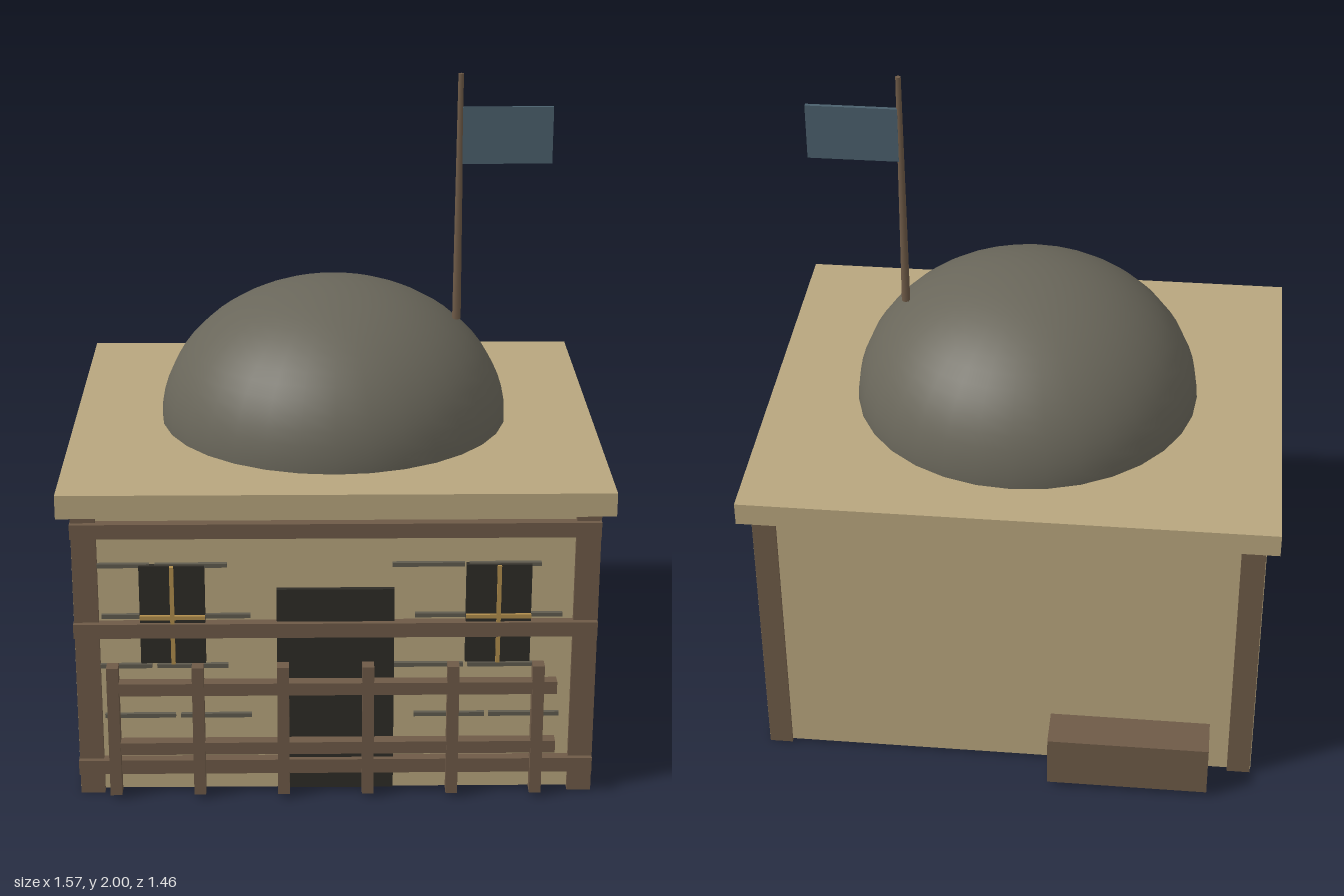
import * as THREE from 'three';

const mat = (color, side = THREE.FrontSide) => new THREE.MeshStandardMaterial({ color, side });

export function createModel() {
  const model = new THREE.Group();
  const plaster = mat(0xb8a67e), wood = mat(0x6e5a47), dark = mat(0x2e2c27);
  const stone = mat(0x69665a), crack = mat(0x5f5b4e), brass = mat(0xb08d4c), cloth = mat(0x4a5f6c);

  const add = (name, geometry, material, x = 0, y = 0, z = 0) => {
    const mesh = new THREE.Mesh(geometry, material);
    mesh.name = name;
    mesh.position.set(x, y, z);
    model.add(mesh);
    return mesh;
  };
  // Box given by its extents on each axis
  const box = (name, material, [x0, x1], [y0, y1], [z0, z1]) =>
    add(name, new THREE.BoxGeometry(x1 - x0, y1 - y0, z1 - z0), material,
      (x0 + x1) / 2, (y0 + y1) / 2, (z0 + z1) / 2);

  // Walls and roof slab
  box('walls', plaster, [-0.75, 0.75], [0.01, 0.88], [-0.605, 0.675]);
  box('roofSlab', plaster, [-0.787, 0.787], [0.88, 0.95], [-0.643, 0.708]);

  // Side frames, showing at the corners and along the bottom edges
  for (const s of [-1, 1]) {
    const x = s * 0.713;
    box('sideFrame', wood, [x - 0.035, x + 0.035], [0.002, 0.88], [-0.612, 0.69]);
  }

  // Beams across the front
  for (const y of [0.093, 0.53, 0.838])
    box('frontBeam', wood, [-0.75, 0.747], [y - 0.022, y + 0.022], [0.67, 0.705]);

  // Squashed dome
  const dome = add('dome', new THREE.SphereGeometry(0.525, 32, 16, 0, Math.PI * 2, 0, Math.PI / 2),
    stone, 0, 0.948, 0.032);
  dome.scale.y = 0.8;

  // Flagpole and flag
  add('flagpole', new THREE.CylinderGeometry(0.008, 0.013, 0.75, 8), wood, 0.373, 1.625, 0.034);
  box('flag', cloth, [0.378, 0.648], [1.73, 1.9], [0.025, 0.037]);

  // Door and windows with glazing bars
  box('door', dark, [-0.17, 0.166], [0.015, 0.652], [0.66, 0.69]);
  for (const x of [-0.467, 0.463]) {
    box('window', dark, [x - 0.093, x + 0.093], [0.425, 0.728], [0.66, 0.695]);
    box('windowUpright', brass, [x - 0.006, x + 0.006], [0.425, 0.728], [0.69, 0.704]);
    box('windowCrossbar', brass, [x - 0.093, x + 0.093], [0.565, 0.577], [0.69, 0.704]);
  }

  // Thin masonry joints in four courses, alternate ones shifted sideways
  const courses = [
    [0.251, [-0.67, -0.45, 0.225, 0.442]],
    [0.411, [-0.735, -0.515, 0.16, 0.378]],
    [0.568, [-0.67, -0.45, 0.225, 0.442]],
    [0.726, [-0.735, -0.515, 0.16, 0.378]],
  ];
  for (const [y, starts] of courses)
    for (const x of starts)
      box('masonryJoint', crack, [x, x + 0.205], [y - 0.006, y + 0.006], [0.665, 0.687]);

  // Railing in front
  for (let i = 0; i < 6; i++) {
    const x = -0.642 + i * 0.2445;
    box('railingPost', wood, [x - 0.017, x + 0.017], [0.014, 0.424], [0.69, 0.728]);
  }
  for (const y of [0.163, 0.353])
    box('railing', wood, [-0.657, 0.635], [y - 0.019, y + 0.019], [0.69, 0.724]);

  // Crate against the back wall
  box('backCrate', wood, [-0.618, -0.132], [0.018, 0.185], [-0.728, -0.604]);

  return model;
}
